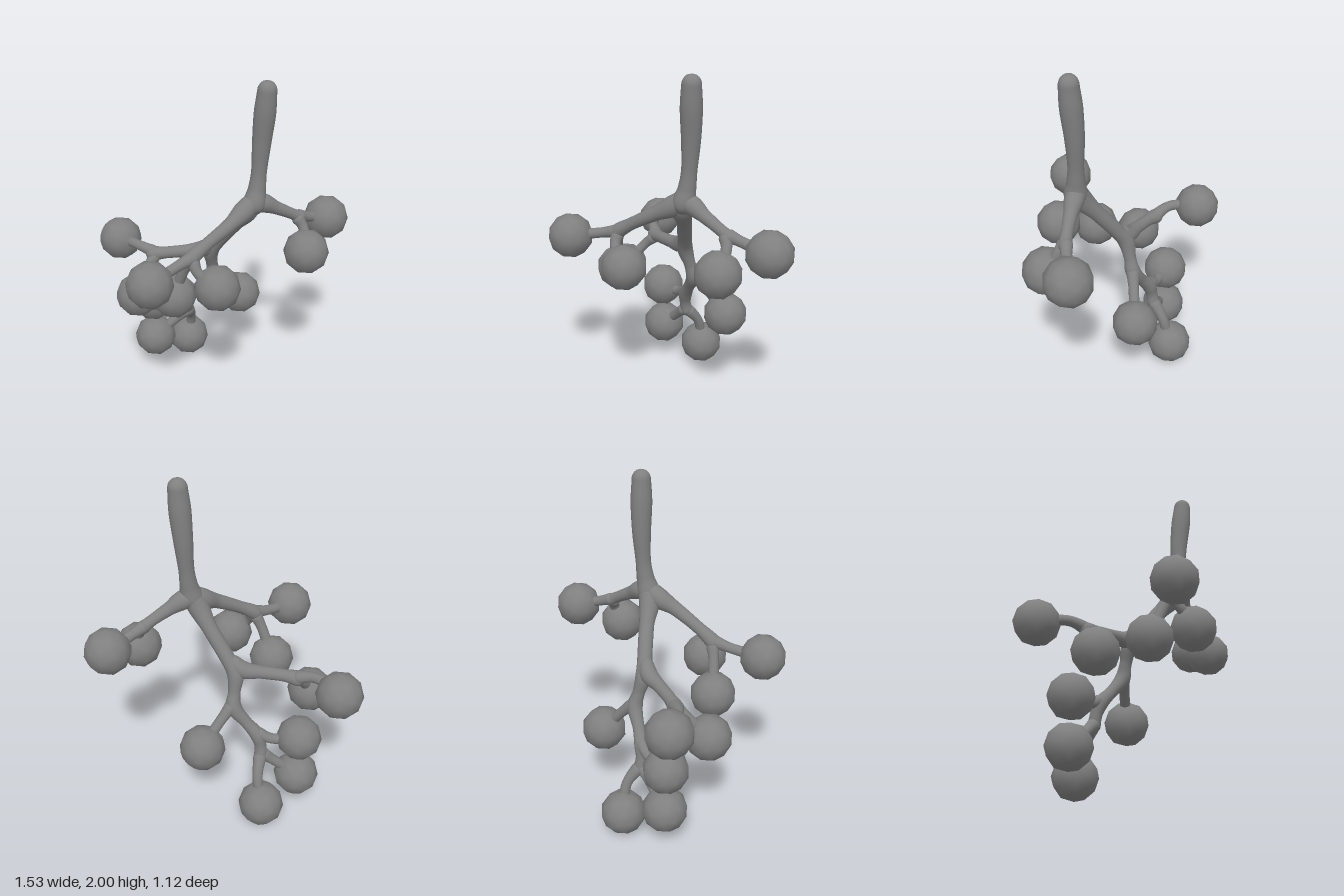
import * as THREE from 'three';
import { mergeVertices } from 'three/addons/utils/BufferGeometryUtils.js';

const material = new THREE.MeshStandardMaterial({ color: 0x808080 });
const BALL_RADIUS = 0.133;

// Smooth round-ended tube through points [x, y, z, radius]; the radius is interpolated along the path
function limb(name, points) {
  const curve = new THREE.CatmullRomCurve3(points.map(p => new THREE.Vector3(p[0], p[1], p[2])));
  const radii = new THREE.CatmullRomCurve3(points.map(p => new THREE.Vector3(p[3], 0, 0)));
  const rows = (points.length - 1) * 14, sides = 16, length = curve.getLength();
  const geo = new THREE.TubeGeometry(curve, rows, 1, sides, false);
  const pos = geo.attributes.position, v = new THREE.Vector3();
  for (let i = 0; i <= rows; i++) {
    const centre = curve.getPointAt(i / rows);
    let r = radii.getPoint(curve.getUtoTmapping(i / rows)).x;
    // Hemispherical ends
    const toEnd = Math.min(i, rows - i) / rows * length;
    if (toEnd < r) r *= Math.sqrt(1 - (1 - toEnd / r) ** 2);
    for (let j = 0; j <= sides; j++) {
      const k = i * (sides + 1) + j;
      v.fromBufferAttribute(pos, k).sub(centre).multiplyScalar(r).add(centre);
      pos.setXYZ(k, v.x, v.y, v.z);
    }
  }
  // Weld the seam so the recomputed normals are smooth all round
  geo.deleteAttribute('uv');
  geo.deleteAttribute('normal');
  const welded = mergeVertices(geo, 1e-5);
  welded.computeVertexNormals();
  const mesh = new THREE.Mesh(welded, material);
  mesh.name = name;
  return mesh;
}

export function createModel() {
  const group = new THREE.Group();
  group.name = 'berryCluster';

  // Main stem and branches, flared where they fork
  const limbs = {
    stem: [[0.275, 2.0, -0.07, 0.05], [0.271, 1.93, -0.07, 0.054], [0.263, 1.82, -0.075, 0.06],
      [0.25, 1.65, -0.083, 0.053], [0.24, 1.48, -0.08, 0.044], [0.232, 1.38, -0.072, 0.051],
      [0.22, 1.3, -0.06, 0.066], [0.2, 1.235, -0.055, 0.055]],
    leftBranch: [[0.19, 1.31, -0.05, 0.05], [0.26, 1.295, -0.085, 0.056], [0.34, 1.25, -0.125, 0.039],
      [0.43, 1.195, -0.175, 0.033], [0.48, 1.16, -0.205, 0.037], [0.505, 1.14, -0.215, 0.03]],
    frontBranch: [[0.23, 1.33, -0.07, 0.05], [0.17, 1.27, -0.02, 0.06], [0.1, 1.215, 0.055, 0.042],
      [-0.02, 1.13, 0.145, 0.036], [-0.1, 1.065, 0.2, 0.044], [-0.125, 1.03, 0.22, 0.04]],
    backBranch: [[0.23, 1.34, -0.07, 0.05], [0.185, 1.25, -0.07, 0.06], [0.11, 1.14, -0.12, 0.044],
      [0.01, 1.0, -0.175, 0.043], [-0.045, 0.91, -0.205, 0.048], [-0.045, 0.8, -0.24, 0.036],
      [-0.045, 0.715, -0.265, 0.045], [-0.12, 0.615, -0.275, 0.035], [-0.187, 0.535, -0.285, 0.043],
      [-0.208, 0.46, -0.295, 0.035], [-0.21, 0.37, -0.315, 0.042]],
    rightBranch: [[-0.01, 1.0, -0.18, 0.035], [-0.08, 0.93, -0.19, 0.05], [-0.19, 0.91, -0.175, 0.038],
      [-0.31, 0.895, -0.165, 0.036], [-0.4, 0.88, -0.165, 0.045], [-0.44, 0.865, -0.165, 0.036]],
  };
  for (const [name, points] of Object.entries(limbs)) group.add(limb(name, points));

  // Berries, each with the points of its twig: fork, bend, berry centre
  const berries = [
    { fork: [0.45, 1.18, -0.188], bend: [0.525, 1.145, -0.255], at: [0.633, 1.1, -0.36] },
    { fork: [0.45, 1.18, -0.188], bend: [0.5, 1.115, -0.175], at: [0.527, 0.986, -0.113] },
    { fork: [-0.09, 1.07, 0.195], bend: [-0.18, 1.04, 0.28], at: [-0.293, 1.007, 0.425] },
    { fork: [-0.1, 1.065, 0.2], bend: [-0.06, 0.99, 0.235], at: [0.047, 0.9, 0.228] },
    { fork: [-0.1, 1.065, 0.2], bend: [-0.15, 0.97, 0.185], at: [-0.215, 0.788, 0.152] },
    { fork: [-0.37, 0.885, -0.165], bend: [-0.5, 0.92, -0.2], at: [-0.633, 0.902, -0.31] },
    { fork: [-0.37, 0.885, -0.165], bend: [-0.42, 0.82, -0.11], at: [-0.463, 0.685, 0.003] },
    { fork: [-0.045, 0.74, -0.26], bend: [0.025, 0.645, -0.325], at: [0.115, 0.506, -0.405] },
    { fork: [-0.17, 0.56, -0.285], bend: [-0.27, 0.515, -0.28], at: [-0.426, 0.508, -0.24] },
    { fork: [-0.205, 0.42, -0.3], bend: [-0.29, 0.345, -0.28], at: [-0.42, 0.232, -0.245] },
    { fork: [-0.21, 0.42, -0.3], bend: [-0.205, 0.31, -0.39], at: [-0.232, 0.133, -0.428] },
  ];
  const berryGeo = new THREE.IcosahedronGeometry(BALL_RADIUS, 1);
  for (const { fork, bend, at } of berries) {
    const part = new THREE.Group();
    part.name = 'berryWithTwig';
    const berry = new THREE.Mesh(berryGeo, material);
    berry.name = 'berry';
    berry.position.set(...at);
    part.add(limb('twig', [[...fork, 0.042], [...bend, 0.03], [...at, 0.034]]), berry);
    group.add(part);
  }
  return group;
}
